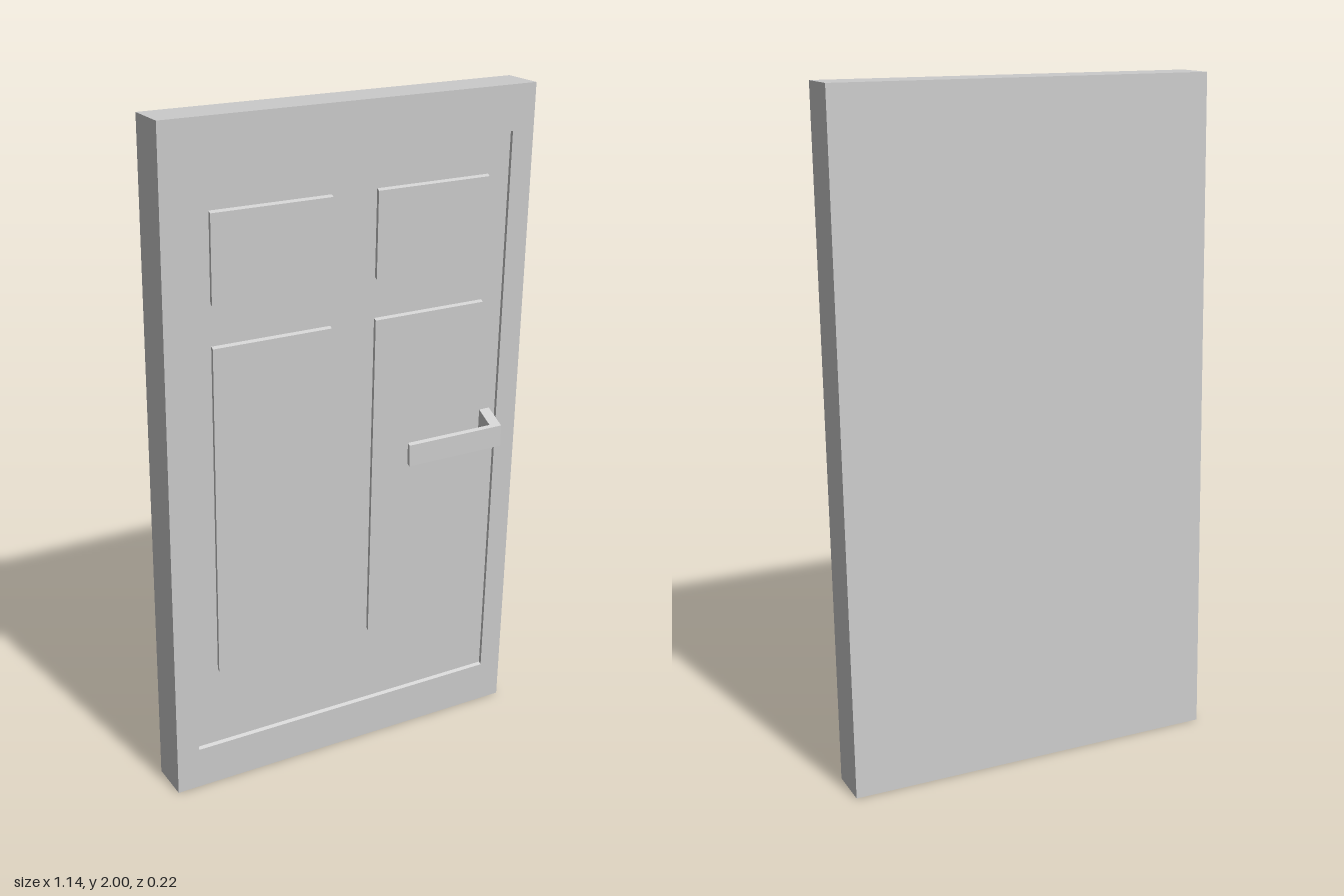
import * as THREE from 'three';

const LEAN = 0.0315; // z gained per unit of height
const DROP = 0.52; // y lost per unit of z on the relief and the handle
const FRONT = 0.052, FLOOR = 0.042, BACK = -0.078; // depths at mid height
const material = new THREE.MeshStandardMaterial({ color: 0xcccccc, flatShading: true });

function rect(x0, y0, x1, y1, Type = THREE.Shape) {
  return new Type([[x0, y0], [x1, y0], [x1, y1], [x0, y1]].map(p => new THREE.Vector2(...p)));
}

// Extrude a shape between two depths, slant its inner edges and lean it forward
function slanted(name, shape, z0, z1, zRef, lean = LEAN) {
  const geo = new THREE.ExtrudeGeometry(shape, { depth: z1 - z0, bevelEnabled: false });
  geo.translate(0, 0, z0);
  const p = geo.attributes.position;
  for (let i = 0; i < p.count; i++) {
    const y = p.getY(i), z = p.getZ(i);
    const outer = y < 0.001 || y > 1.999; // the leaf's top and bottom stay level
    p.setXYZ(i, p.getX(i), outer ? y : y - DROP * (z - zRef), z + lean * (y - 1));
  }
  geo.computeVertexNormals();
  const mesh = new THREE.Mesh(geo, material);
  mesh.name = name;
  return mesh;
}

export function createModel() {
  const door = new THREE.Group();
  door.name = 'door';

  // Main leaf, up to the bottom of the recess
  door.add(slanted('doorLeaf', rect(-0.57, 0, 0.57, 2), BACK, FLOOR, FRONT));

  // Border surrounding the shallow recess
  const border = rect(-0.57, 0, 0.57, 2);
  border.holes.push(rect(-0.5, 0.13, 0.5, 1.87, THREE.Path));
  door.add(slanted('border', border, FLOOR, FRONT, FRONT));

  // Raised panels: short pair above, tall pair below
  for (const [label, y0, y1] of [['upper', 1.5, 1.75], ['lower', 0.38, 1.38]]) {
    for (const side of [-1, 1]) {
      const x = side * 0.25;
      door.add(slanted(label + (side < 0 ? 'Right' : 'Left') + 'Panel',
        rect(x - 0.18, y0, x + 0.18, y1), FLOOR, FRONT, FRONT));
    }
  }

  // Lever handle: stem out of the leaf, flat grip across
  const handle = new THREE.Group();
  handle.name = 'handle';
  handle.add(
    slanted('handleStem', rect(0.445, 0.935, 0.48, 1), FLOOR - 0.001, 0.1, 0.11, 0),
    slanted('handleGrip', rect(0.16, 0.935, 0.48, 1), 0.1, 0.11, 0.11, 0),
  );
  door.add(handle);
  return door;
}
